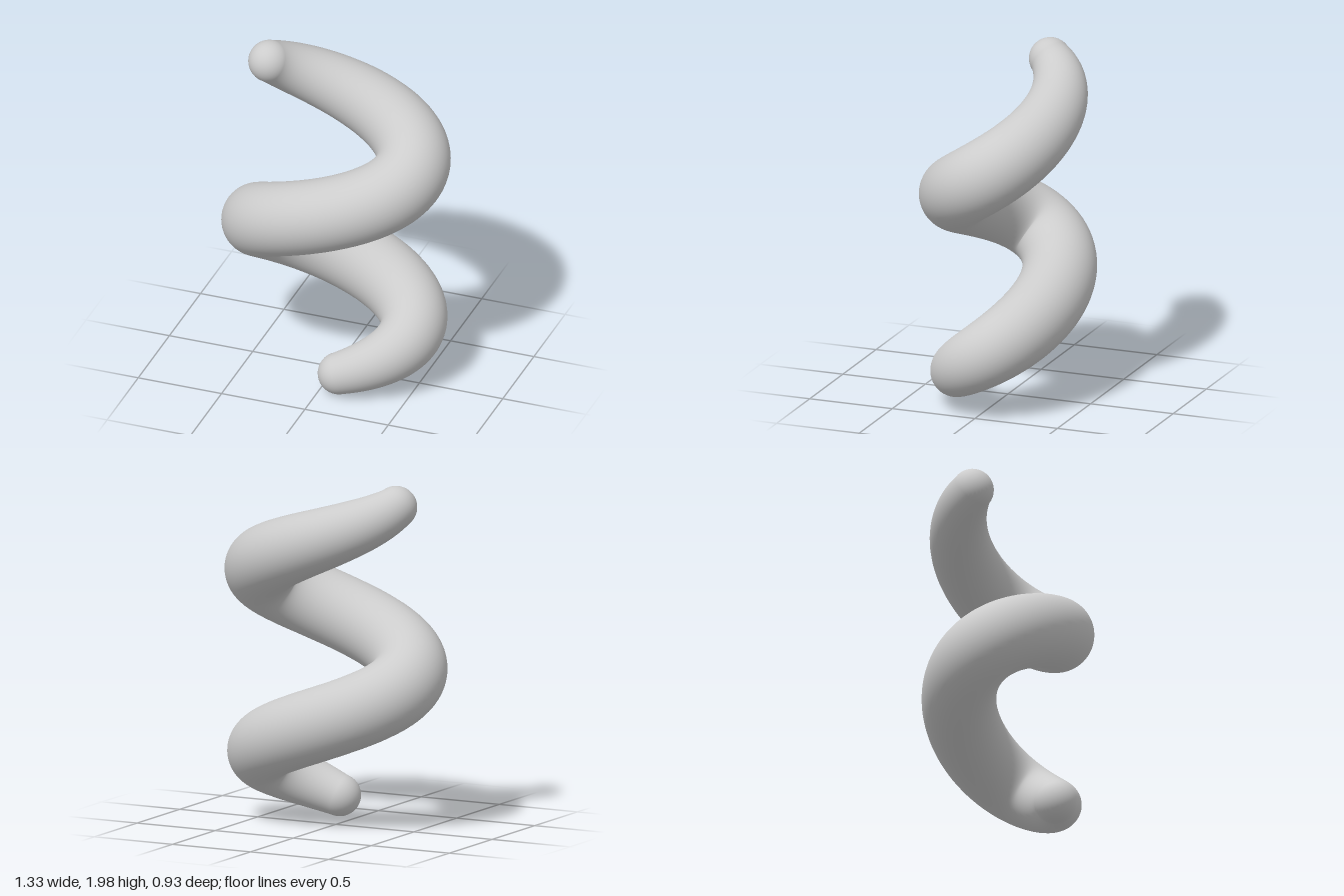
import * as THREE from 'three';

const DEG = Math.PI / 180;
const START = -76 * DEG, END = 521 * DEG;   // angles of the two tip centres
const RX = 0.455, RZ = 0.255;               // half axes of the oval coil
const RISE = 1.05 / (2 * Math.PI);          // height gained per radian

// Centre line of the coil
const centre = (t) => new THREE.Vector3(RX * Math.cos(t), 0.348 + RISE * t, -RZ * Math.sin(t));
const direction = (t) => new THREE.Vector3(-RX * Math.sin(t), RISE, -RZ * Math.cos(t)).normalize();

// Thickness: full in the middle, thinning toward both tips
function thickness(t) {
  const s = Math.min(1, Math.min(t - START, END - t) / (165 * DEG));
  return 0.21 - 0.09 * (1 - s) ** 2;
}

function coilGeometry(bodySteps = 260, capSteps = 10, sides = 48) {
  // Rings: t along the coil, phi = 0 or PI at the poles of the rounded tips
  const rings = [];
  for (let i = 0; i < capSteps; i++) rings.push({ t: START, phi: Math.PI - (i / capSteps) * Math.PI / 2 });
  for (let i = 0; i <= bodySteps; i++) rings.push({ t: START + (END - START) * i / bodySteps, phi: Math.PI / 2 });
  for (let i = capSteps - 1; i >= 0; i--) rings.push({ t: END, phi: (i / capSteps) * Math.PI / 2 });

  const positions = [], normals = [], index = [];
  const up = new THREE.Vector3(0, 1, 0);
  rings.forEach(({ t, phi }, i) => {
    const c = centre(t), T = direction(t), r = thickness(t);
    const N = T.clone().cross(up).normalize();
    const B = T.clone().cross(N);
    for (let j = 0; j <= sides; j++) {
      const a = (j / sides) * 2 * Math.PI;
      const n = new THREE.Vector3()
        .addScaledVector(N, Math.cos(a) * Math.sin(phi))
        .addScaledVector(B, Math.sin(a) * Math.sin(phi))
        .addScaledVector(T, Math.cos(phi));
      normals.push(n.x, n.y, n.z);
      const p = n.multiplyScalar(r).add(c);
      positions.push(p.x, p.y, p.z);
      if (i < rings.length - 1 && j < sides) {
        const k = i * (sides + 1) + j, m = k + sides + 1;
        index.push(k, k + 1, m, k + 1, m + 1, m);
      }
    }
  });
  const g = new THREE.BufferGeometry();
  g.setAttribute('position', new THREE.Float32BufferAttribute(positions, 3));
  g.setAttribute('normal', new THREE.Float32BufferAttribute(normals, 3));
  g.setIndex(index);
  return g;
}

export function createModel() {
  const group = new THREE.Group();
  group.name = 'spiral';
  const coil = new THREE.Mesh(coilGeometry(), new THREE.MeshStandardMaterial({ color: 0xcccccc }));
  coil.name = 'coil';
  group.add(coil);
  return group;
}
